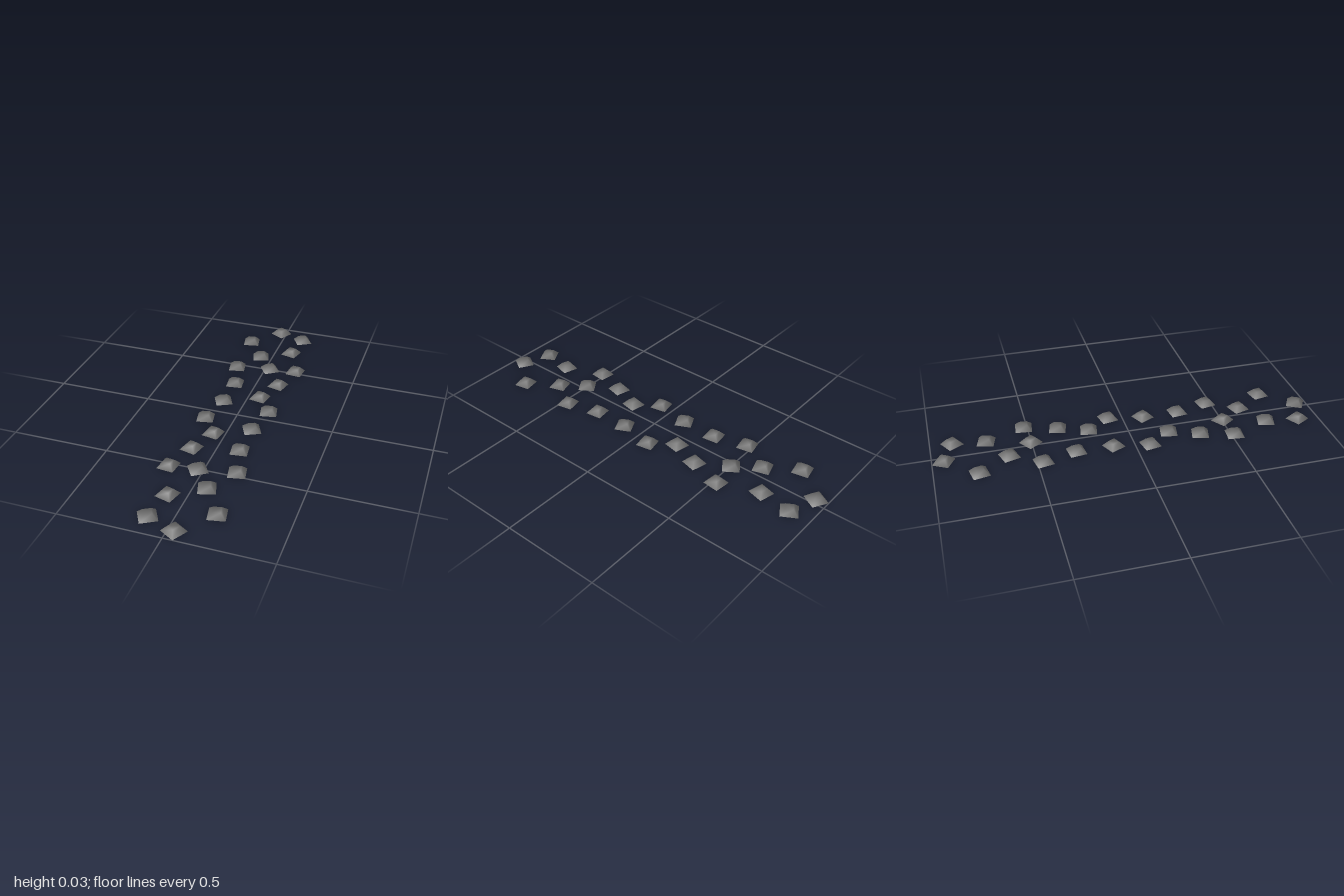
import * as THREE from 'three';
import { mergeVertices, mergeGeometries } from 'three/addons/utils/BufferGeometryUtils.js';

const BASE = 0.085, TOP = 0.038, HEIGHT = 0.028;

// Low square stone: softly shaded sloping sides and top, flat underside
function stoneGeometry() {
  const box = new THREE.BoxGeometry(BASE, HEIGHT, BASE).translate(0, HEIGHT / 2, 0);
  const p = box.attributes.position;
  for (let i = 0; i < p.count; i++) {
    if (p.getY(i) > HEIGHT / 2) {
      p.setX(i, p.getX(i) * TOP / BASE);
      p.setZ(i, p.getZ(i) * TOP / BASE);
    }
  }
  box.deleteAttribute('normal');
  box.deleteAttribute('uv');
  const index = Array.from(box.index.array);
  index.splice(18, 6); // drop the bottom face
  box.setIndex(index);
  const shell = mergeVertices(box);
  shell.computeVertexNormals();

  const bottom = new THREE.PlaneGeometry(BASE, BASE).rotateX(Math.PI / 2);
  bottom.deleteAttribute('uv');
  return mergeGeometries([shell.toNonIndexed(), bottom.toNonIndexed()]);
}

// Half of the path: x, z, turn in degrees
const HALF_PATH = [
  [-0.030, -0.942, -30], [0.115, -0.889, 30], [-0.169, -0.783, 11],
  [0.090, -0.721, -15], [-0.063, -0.625, 17], [0.169, -0.518, -6],
  [0.027, -0.503, 34], [-0.156, -0.471, 11], [0.117, -0.349, -14],
  [-0.111, -0.297, 7], [0.061, -0.197, -11], [-0.112, -0.107, 26],
  [0.146, -0.075, 11],
];

export function createModel() {
  const model = new THREE.Group();
  model.name = 'stonePath';
  const stoneGrey = new THREE.MeshStandardMaterial({ color: 0x6b6b6b });
  stoneGrey.name = 'stone grey';
  const geometry = stoneGeometry();

  // The second half repeats the first, turned half way round
  for (const side of [1, -1]) {
    HALF_PATH.forEach(([x, z, turn], i) => {
      const stone = new THREE.Mesh(geometry, stoneGrey);
      stone.name = `${side > 0 ? 'back' : 'front'}Stone${i + 1}`;
      stone.position.set(side * x, 0, side * z);
      stone.rotation.y = THREE.MathUtils.degToRad(turn);
      model.add(stone);
    });
  }
  return model;
}
